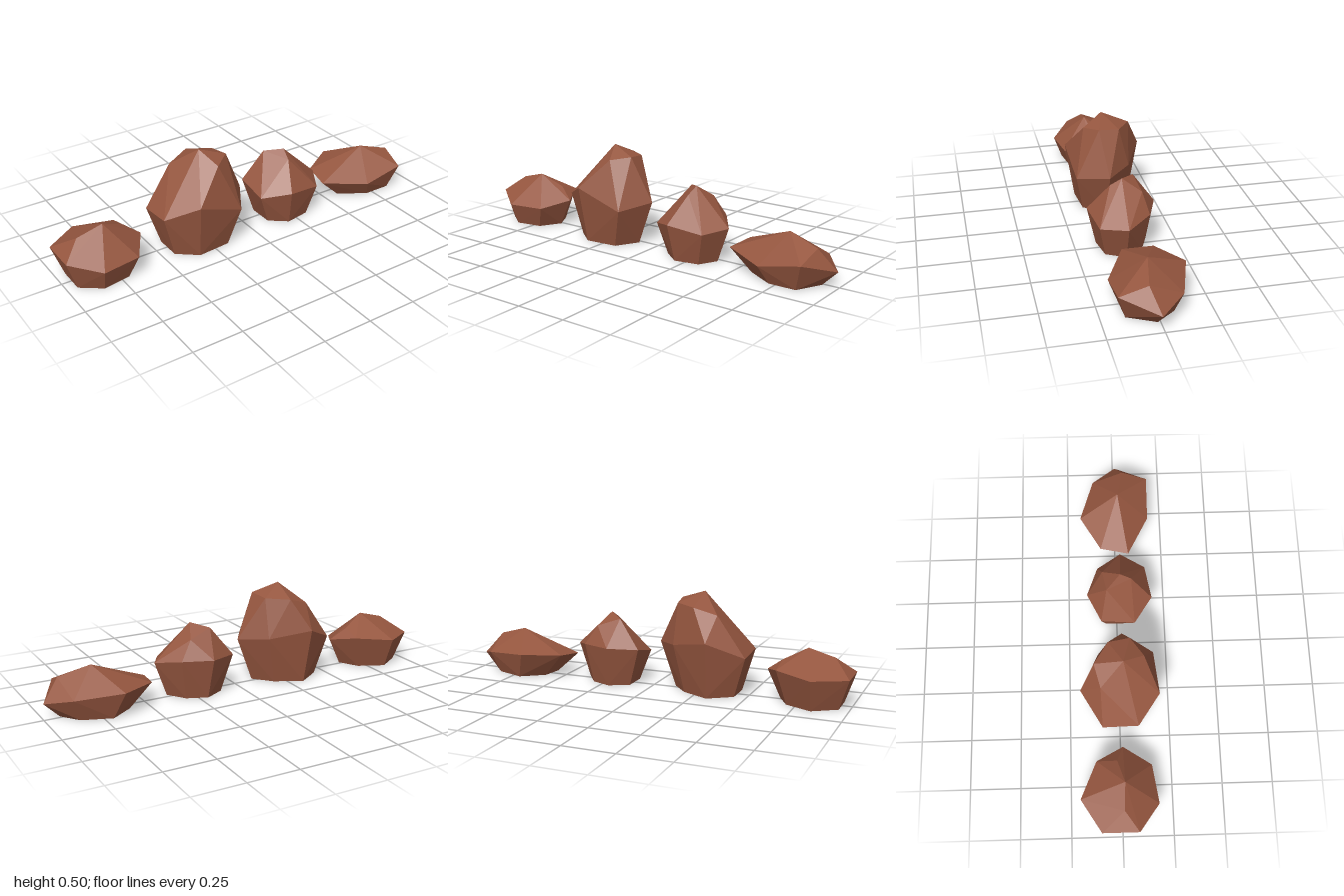
import * as THREE from 'three';
import { ConvexGeometry } from 'three/addons/geometries/ConvexGeometry.js';

const stone = new THREE.MeshStandardMaterial({ color: 0x95563f });
stone.name = 'reddish brown stone';

// Faceted rock: a seven-sided belt, its outline shrunk about pivotX to make the flat foot, and a few crown points.
function makeRock(name, pivotX, footScale, belt, crown) {
  const upper = [...belt, ...crown].map(([x, y, z]) => new THREE.Vector3(x, y, z));
  const foot = belt.map(([x, , z]) =>
    new THREE.Vector3(pivotX + (x - pivotX) * footScale, 0, z * 0.75 + 0.005));
  const rock = new THREE.Mesh(new ConvexGeometry([...foot, ...upper]), stone);
  rock.name = name;
  return rock;
}

export function createModel() {
  const group = new THREE.Group();
  group.name = 'rocks';

  // Rounded rock at the far right
  group.add(makeRock('roundRock', -0.82, 0.72,
    [[-1, 0.15, 0.08], [-0.86, 0.11, 0.18], [-0.67, 0.11, 0.15], [-0.585, 0.14, 0.01],
      [-0.66, 0.17, -0.12], [-0.84, 0.155, -0.2], [-1, 0.15, -0.1]],
    [[-0.91, 0.225, 0.01], [-0.78, 0.26, 0.015], [-0.665, 0.2, -0.02]]));

  // Tallest rock
  group.add(makeRock('tallRock', -0.3, 0.7,
    [[-0.5, 0.215, 0.09], [-0.36, 0.285, 0.195], [-0.12, 0.195, 0.175], [-0.027, 0.225, 0.02],
      [-0.14, 0.24, -0.1], [-0.335, 0.28, -0.19], [-0.5, 0.2, -0.085]],
    [[-0.26, 0.495, 0.02], [-0.215, 0.435, 0.12], [-0.13, 0.45, 0.055], [-0.145, 0.44, -0.05],
      [-0.25, 0.435, -0.12], [-0.36, 0.4, -0.09]]));

  // Pointed rock
  group.add(makeRock('pointedRock', 0.234, 0.69,
    [[0.055, 0.155, 0.09], [0.18, 0.185, 0.18], [0.36, 0.16, 0.15], [0.43, 0.175, 0.025],
      [0.34, 0.2, -0.095], [0.195, 0.2, -0.15], [0.055, 0.19, -0.08]],
    [[0.24, 0.355, 0.02], [0.165, 0.335, -0.05], [0.23, 0.32, 0.075], [0.28, 0.295, -0.07]]));

  // Low slanting rock at the far left
  group.add(makeRock('lowRock', 0.785, 0.64,
    [[0.465, 0.105, 0.07], [0.68, 0.085, 0.18], [0.895, 0.13, 0.18], [0.995, 0.075, 0.01],
      [0.89, 0.11, -0.11], [0.665, 0.13, -0.18], [0.49, 0.12, -0.075]],
    [[0.755, 0.225, 0.02], [0.91, 0.18, 0.05]]));

  return group;
}
